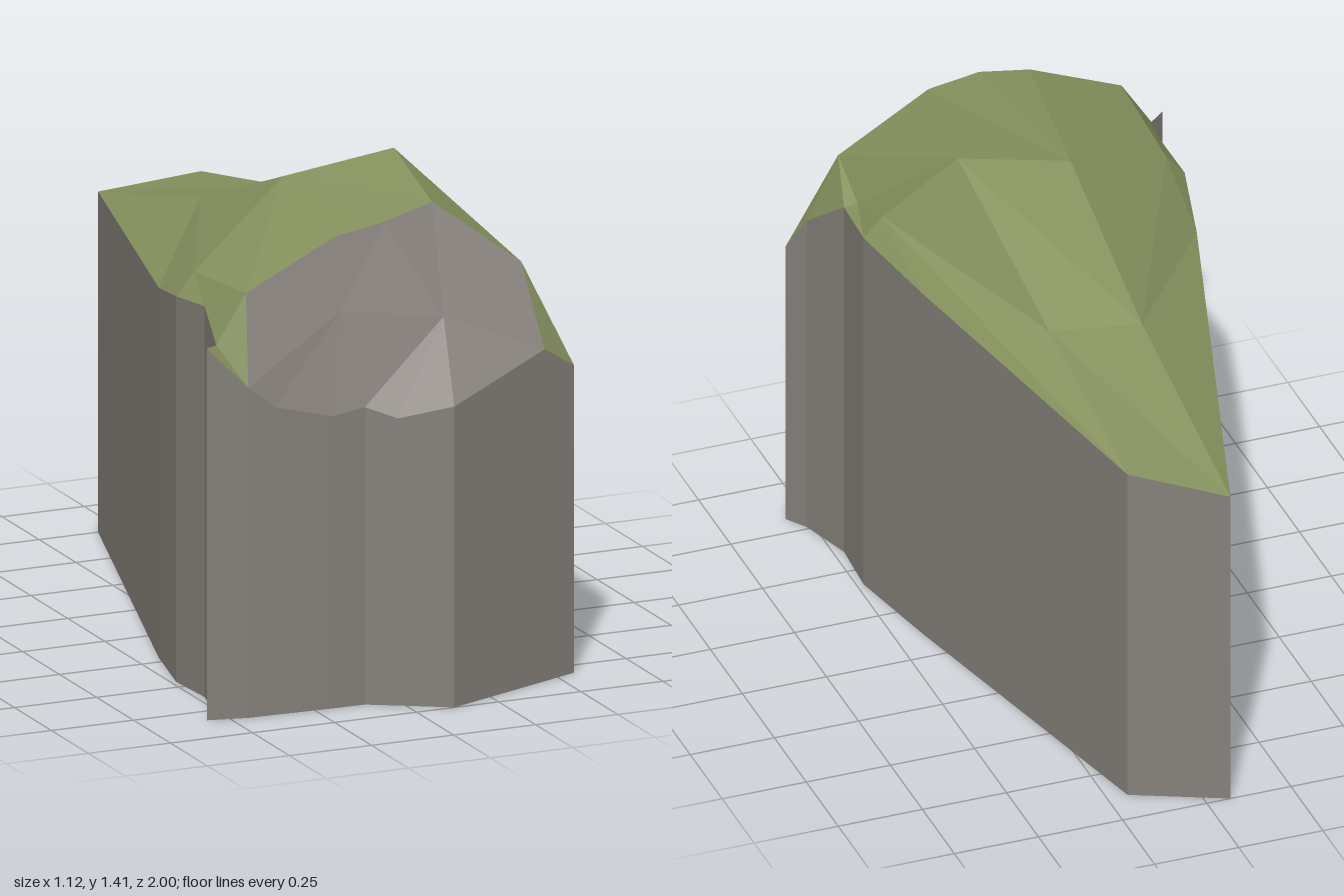
import * as THREE from 'three';

// Outline of the cliff, clockwise from above: name -> x, y (wall top), z
const rim = {
  A: [-0.07, 0.985, -1], B: [0.19, 1.045, -0.88], C: [0.42, 1.11, 0.12],
  D: [0.48, 1.13, 0.42], E: [0.47, 1.125, 0.6], F: [0.52, 1.0, 0.76],
  G: [0.56, 0.89, 0.82], S: [0.45, 0.96, 0.865], H: [0.115, 0.87, 1],
  Q1: [-0.02, 0.83, 0.918], I: [-0.1, 0.86, 0.872], Q2: [-0.2, 0.845, 0.87],
  Q3: [-0.37, 0.89, 0.863], J: [-0.45, 0.955, 0.86], K: [-0.565, 1.075, 0.835],
  L: [-0.52, 1.07, 0.8], M: [-0.475, 1.13, 0.62], N: [-0.485, 1.115, 0.45],
  O: [-0.43, 1.07, 0.21],
};

// Ridge, shoulders and brow of the crown
const crown = {
  T1: [-0.07, 1.15, -0.31], T2: [0.19, 1.16, -0.27], T3: [-0.07, 1.36, 0.25],
  P: [0.25, 1.415, 0.29], N2: [-0.43, 1.18, 0.45],
  R1: [-0.43, 1.21, 0.8], R2: [-0.15, 1.335, 0.78], R3: [0, 1.36, 0.78],
  R4: [0.175, 1.38, 0.715], R5: [0.425, 1.19, 0.765],
  D2: [0.43, 1.195, 0.41], E2: [0.43, 1.13, 0.6],
  C0: [0.145, 1.09, 0.86], G0: [-0.15, 1.13, 0.82],
};
const points = { ...rim, ...crown };

const mossFaces = [
  // ridge and slopes
  'T1 T2 P T3', 'T1 T3 N2', 'N2 T3 R1', 'T3 R2 R1', 'T3 R3 R2', 'T3 P R4', 'T3 R4 R3',
  'P T2 D2', 'P D2 E2', 'P E2 R5', 'P R5 R4',
  // back tail
  'A T1 T2', 'A T2 B', 'O T1 A',
  // +x shoulder
  'T2 B D2', 'B C D2', 'C D D2', 'D E E2 D2', 'E F R5 E2', 'R5 F G', 'R5 G S',
  // -x shoulder
  'K J L', 'L J R1', 'L R1 M', 'M R1 N2', 'M N2 N', 'N N2 O', 'O N2 T1',
];
const browFaces = [
  'S R5 C0', 'S C0 H', 'R5 R4 C0', 'R4 R3 C0', 'R3 G0 C0', 'R3 R2 G0', 'R2 R1 G0',
  'R1 J G0', 'J Q3 G0', 'Q3 Q2 G0', 'Q2 I G0', 'G0 I C0', 'I Q1 C0', 'Q1 H C0',
];

function makeMesh(name, triangles, color) {
  const geometry = new THREE.BufferGeometry();
  geometry.setAttribute('position', new THREE.Float32BufferAttribute(triangles.flat(2), 3));
  geometry.computeVertexNormals();
  const mesh = new THREE.Mesh(geometry, new THREE.MeshStandardMaterial({ color, flatShading: true }));
  mesh.name = name;
  return mesh;
}

// Fan each named polygon into triangles, all turned to face upward
function upwardTriangles(faces) {
  const triangles = [];
  for (const face of faces) {
    const p = face.split(' ').map((key) => points[key]);
    for (let i = 1; i < p.length - 1; i++) {
      const [a, b, c] = [p[0], p[i], p[i + 1]];
      const up = (b[2] - a[2]) * (c[0] - a[0]) - (b[0] - a[0]) * (c[2] - a[2]);
      triangles.push(up > 0 ? [a, b, c] : [a, c, b]);
    }
  }
  return triangles;
}

export function createModel() {
  const stone = 0x85807a;
  const group = new THREE.Group();
  group.name = 'rockCliff';

  // Vertical walls
  const ring = Object.values(rim);
  const floor = ring.map(([x, , z]) => [x, 0, z]);
  const walls = [];
  ring.forEach((top, i) => {
    const j = (i + 1) % ring.length;
    walls.push([top, ring[j], floor[j]], [top, floor[j], floor[i]]);
  });
  group.add(makeMesh('cliffWalls', walls, stone));

  // Flat underside
  const outline = floor.map(([x, , z]) => new THREE.Vector2(x, z));
  const base = THREE.ShapeUtils.triangulateShape(outline, []).map((tri) => {
    const [a, b, c] = tri.map((i) => floor[i]);
    const up = (b[2] - a[2]) * (c[0] - a[0]) - (b[0] - a[0]) * (c[2] - a[2]);
    return up < 0 ? [a, b, c] : [a, c, b];
  });
  group.add(makeMesh('underside', base, stone));

  // Bare rock brow at the front and the mossy crown
  group.add(makeMesh('rockBrow', upwardTriangles(browFaces), 0x8d8682));
  group.add(makeMesh('mossyCrown', upwardTriangles(mossFaces), 0x87935f));
  return group;
}
